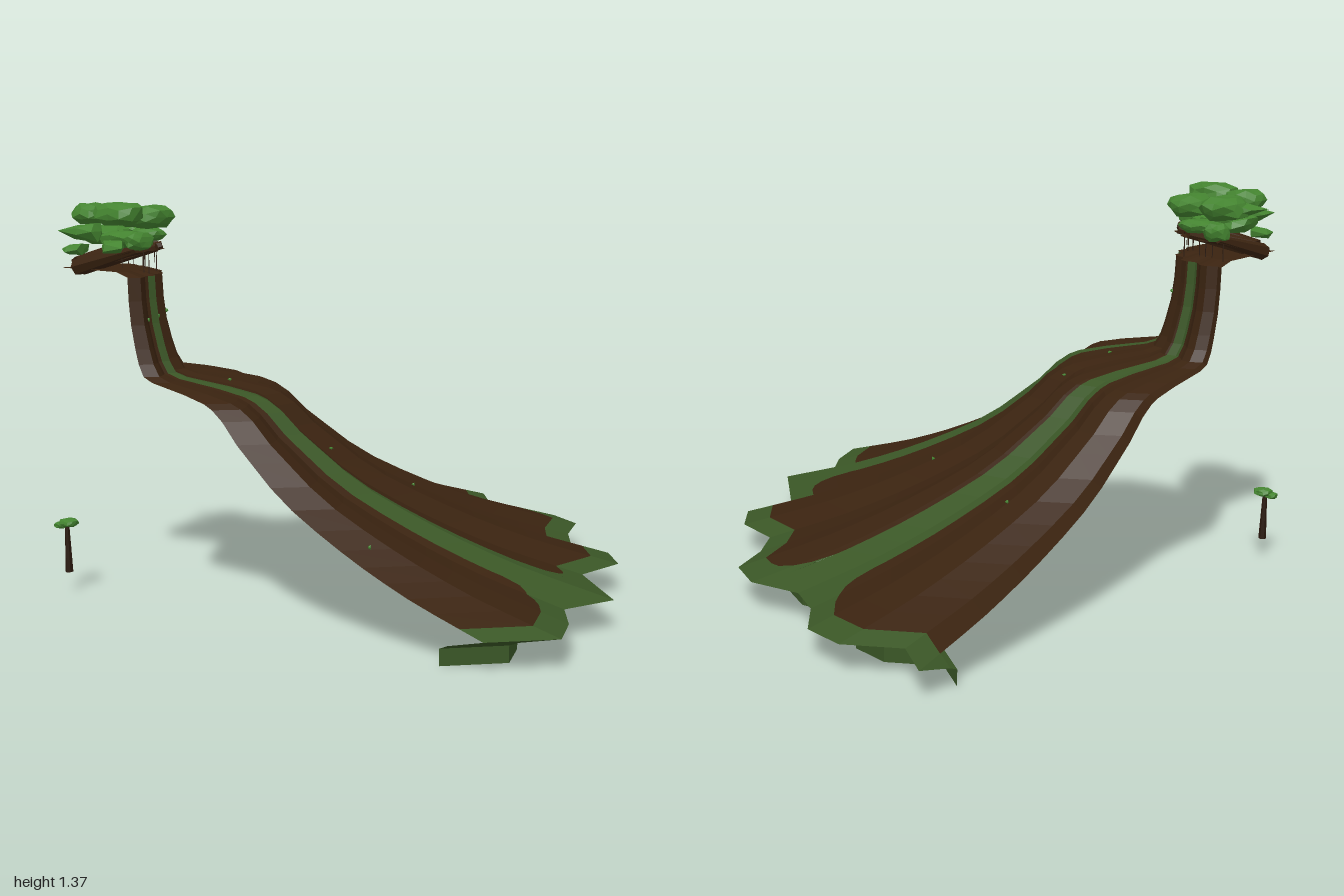
import * as THREE from 'three';

const mat = (name, color) => new THREE.MeshStandardMaterial({ name, color, side: THREE.DoubleSide });

// Flare radius of the root fan at every five degrees, from +x round to -z
const FLARE = [1.76, 1.937, 1.887, 1.815, 1.94, 1.86, 1.80, 1.93, 1.916, 1.81,
  1.845, 1.94, 1.926, 1.81, 1.83, 1.926, 1.92, 1.787, 1.89];
const AXIS = { x: -0.93, z: 0.9 };

// Trunk profile: fraction of the flare radius, height
const PROFILE = [[0.18, 1.12], [0.182, 1.04], [0.187, 0.96], [0.197, 0.88], [0.205, 0.83], [0.217, 0.79],
  [0.24, 0.773], [0.32, 0.745], [0.37, 0.722], [0.39, 0.705], [0.415, 0.67], [0.45, 0.6], [0.485, 0.545],
  [0.53, 0.475], [0.58, 0.412], [0.635, 0.357], [0.69, 0.307], [0.74, 0.265], [0.79, 0.227], [0.84, 0.192],
  [0.893, 0.16], [0.95, 0.128], [1, 0.1]];
const STRIPES = [[16.5, 23.5], [61, 67.5]];

function heightAt(t) {
  const i = Math.max(1, PROFILE.findIndex((p) => p[0] >= t));
  const [a, b] = [PROFILE[i - 1], PROFILE[i]];
  return a[1] + (b[1] - a[1]) * (t - a[0]) / (b[0] - a[0]);
}

// Point on the faceted fan at an angle, a fraction of the flare and a height
function fanPoint(deg, t, y) {
  const i = Math.min(17, Math.floor(deg / 5));
  const f = deg / 5 - i;
  const at = (k) => {
    const a = THREE.MathUtils.degToRad(k * 5);
    return [FLARE[k] * Math.cos(a), -FLARE[k] * Math.sin(a)];
  };
  const [p, q] = [at(i), at(i + 1)];
  return new THREE.Vector3(AXIS.x + t * (p[0] + (q[0] - p[0]) * f), y, AXIS.z + t * (p[1] + (q[1] - p[1]) * f));
}

// Flat-faceted sheet; column(deg) lists [fraction, height] from the inside outwards
function sheet(angles, column) {
  const grid = angles.map((d) => column(d).map(([t, y]) => fanPoint(d, t, y)));
  const pts = [];
  const tri = (a, b, c) => {
    if (a.distanceTo(b) > 1e-6 && b.distanceTo(c) > 1e-6 && a.distanceTo(c) > 1e-6) pts.push(a, b, c);
  };
  for (let i = 0; i < grid.length - 1; i++) {
    for (let j = 0; j < grid[i].length - 1; j++) {
      const [a, b, c, d] = [grid[i][j], grid[i][j + 1], grid[i + 1][j + 1], grid[i + 1][j]];
      tri(a, b, c);
      tri(a, c, d);
    }
  }
  const g = new THREE.BufferGeometry().setFromPoints(pts);
  g.computeVertexNormals();
  return g;
}

// Angles between two limits: every fold, plus extra ones near rounded corners
function anglesBetween(from, to) {
  const set = new Set([from, to]);
  for (let d = 0; d <= 90; d += 5) if (d > from && d < to) set.add(d);
  for (const edge of STRIPES.flat()) {
    for (const o of [-4, -2.5, -1.2, -0.4, 0, 0.4, 1.2, 2.5, 4]) {
      if (edge + o > from && edge + o < to) set.add(edge + o);
    }
  }
  return [...set].sort((a, b) => a - b);
}

// Where bark gives way to the moss rim, rounded beside each stripe
function barkEnd(deg) {
  const d = Math.min(...STRIPES.flat().map((e) => Math.abs(e - deg)));
  const u = 1 - Math.min(d / 4, 1);
  return 0.95 - 0.09 * (1 - Math.sqrt(1 - u * u));
}

// Irregular boulder-like leaf clump, flat shaded
function clumpGeometry(seed, spiky) {
  const g = new THREE.IcosahedronGeometry(1, spiky ? 0 : 1);
  const p = g.attributes.position;
  const v = new THREE.Vector3();
  for (let i = 0; i < p.count; i++) {
    v.fromBufferAttribute(p, i);
    const n = Math.sin(v.x * 12.9 + v.y * 47.3 + v.z * 31.7 + seed * 7.1);
    const box = Math.max(Math.abs(v.x), Math.abs(v.y), Math.abs(v.z));
    v.multiplyScalar(spiky ? 0.8 + 0.3 * n : (0.93 + 0.08 * n) / Math.pow(box, 0.7));
    p.setXYZ(i, v.x, v.y, v.z);
  }
  g.computeVertexNormals();
  return g;
}

export function createModel() {
  const root = new THREE.Group();
  root.name = 'giantTreeQuarter';
  const bark = mat('bark', 0x3a2310);
  const moss = mat('moss', 0x3a5626);
  const leaf = mat('leaf', 0x448430);
  const darkBark = mat('darkBark', 0x2a190d);

  const add = (name, geometry, material, parent = root) => {
    const m = new THREE.Mesh(geometry, material);
    m.name = name;
    parent.add(m);
    return m;
  };
  const clump = (name, [x, y, z, sx, sy, sz], seed, spiky, parent = root) => {
    const m = add(name, clumpGeometry(seed, spiky), leaf, parent);
    m.position.set(x, y, z);
    m.scale.set(sx, sy, sz);
  };
  const rod = (name, a, b, r0, r1, material, sides = 6) => {
    const dir = b.clone().sub(a);
    const g = new THREE.CylinderGeometry(r1, r0, dir.length(), sides).toNonIndexed();
    g.computeVertexNormals();
    const m = add(name, g, material);
    m.position.copy(a).addScaledVector(dir, 0.5);
    m.quaternion.setFromUnitVectors(new THREE.Vector3(0, 1, 0), dir.normalize());
  };

  // Bark panels between the moss stripes
  for (const [from, to] of [[0, 16.5], [23.5, 61], [67.5, 90]]) {
    const angles = anglesBetween(from, to);
    add('barkPanel', sheet(angles, (d) => PROFILE.map(([t]) => {
      const u = Math.min(t, barkEnd(d));
      return [u, heightAt(u)];
    })), bark);
    add('mossRim', sheet(angles, (d) => [barkEnd(d), Math.max(0.95, barkEnd(d)), 1].map((t) => [t, heightAt(t)])), moss);
  }
  // Moss stripes running down the gullies
  for (const [from, to] of STRIPES) add('mossStripe', sheet(anglesBetween(from, to), () => PROFILE), moss);

  // Underside of the rim and the upright skirt
  const folds = FLARE.map((_, i) => i * 5);
  add('rimUnderside', sheet(folds, () => [[1, 0.1], [0.925, 0.068], [0.908, 0.055]]), moss);
  add('skirt', sheet(folds, () => [[0.908, 0.055], [0.908, 0]]), moss);

  // Trunk top and the flared crown base
  add('trunkTop', sheet(folds, () => [[0, 1.14], [0.15, 1.137], [0.182, 1.12]]), bark);
  add('crownBase', sheet(folds, () => [[0.03, 1.14], [0.1, 1.165], [0.185, 1.205]]), bark);
  for (const deg of [3, 22, 42, 62, 86]) {
    rod('branch', fanPoint(deg, 0.04, 1.145), fanPoint(deg, 0.185, 1.215), 0.03, 0.014, bark);
  }
  // Hanging vines
  for (let i = 0; i < 11; i++) {
    const deg = 3 + i * 8.4;
    const t = 0.15 + 0.03 * ((i * 7) % 4) / 3;
    rod('vine', fanPoint(deg, t, 1.21), fanPoint(deg, t, 1.15 - 0.015 * (i % 3)), 0.002, 0.002, darkBark, 4);
  }

  // Crown: large rounded clumps, then smaller ones below
  const crown = new THREE.Group();
  crown.name = 'crown';
  root.add(crown);
  [[-0.87, 1.31, 0.66, 0.08, 0.045, 0.085], [-0.73, 1.31, 0.66, 0.075, 0.042, 0.08],
    [-0.85, 1.325, 0.82, 0.068, 0.038, 0.065], [-0.69, 1.33, 0.855, 0.095, 0.042, 0.062],
    [-0.84, 1.25, 0.76, 0.085, 0.035, 0.09], [-0.73, 1.24, 0.8, 0.08, 0.03, 0.07],
    [-0.595, 1.24, 0.86, 0.035, 0.032, 0.055], [-0.89, 1.235, 0.585, 0.045, 0.035, 0.04],
    [-0.79, 1.245, 0.62, 0.07, 0.025, 0.05]]
    .forEach((c, i) => clump('leafClump', c, i + 1, false, crown));
  [[-0.91, 1.31, 0.7, 0.09, 0.045, 0.075], [-0.81, 1.27, 0.9, 0.11, 0.04, 0.085],
    [-0.88, 1.205, 0.88, 0.06, 0.022, 0.075], [-0.68, 1.22, 0.9, 0.08, 0.025, 0.05]]
    .forEach((c, i) => clump('leafSpray', c, i + 3, true, crown));

  // Small separate tree beside the trunk
  rod('saplingTrunk', new THREE.Vector3(-0.925, 0.07, 0.905), new THREE.Vector3(-0.927, 0.235, 0.908), 0.014, 0.008, darkBark);
  clump('saplingLeaves', [-0.92, 0.247, 0.905, 0.034, 0.015, 0.032], 4, false);
  clump('saplingLeaves', [-0.95, 0.236, 0.915, 0.022, 0.012, 0.024], 6, false);

  // Tiny sprouts scattered on the bark
  [[-0.63, -0.22], [-0.39, 0.39], [-0.14, 0.41], [-0.45, 0.58], [0, 0.12], [0.35, 0.83]].forEach(([x, z], i) => {
    const deg = THREE.MathUtils.radToDeg(Math.atan2(AXIS.z - z, x - AXIS.x));
    const full = fanPoint(deg, 1, 0);
    const t = Math.hypot(x - AXIS.x, z - AXIS.z) / Math.hypot(full.x - AXIS.x, full.z - AXIS.z);
    clump('sprout', [x, heightAt(t) + 0.004, z, 0.008, 0.008, 0.008], i, true);
  });
  for (const [deg, y] of [[12, 0.975], [27, 0.98], [38, 0.99]]) {
    const p = fanPoint(deg, 0.187, y);
    clump('sprout', [p.x, p.y, p.z, 0.008, 0.008, 0.008], deg, true);
  }
  return root;
}
